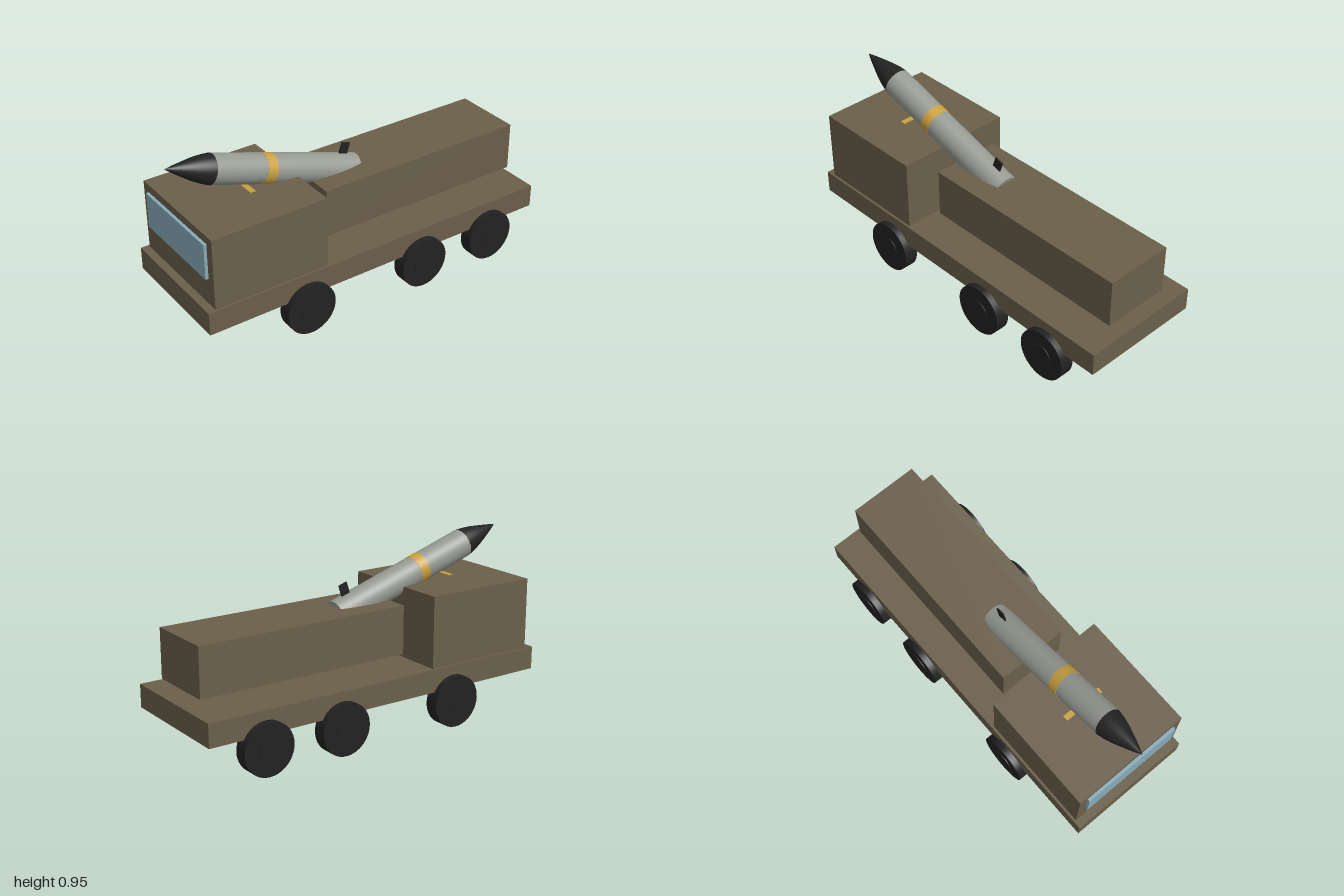
import * as THREE from 'three';

function material(name, color) {
  const m = new THREE.MeshStandardMaterial({ color });
  m.name = name;
  return m;
}

export function createModel() {
  const drab = material('drab brown', 0x6b5f4a);
  const black = material('black', 0x222222);
  const grey = material('missile grey', 0x969a92);
  const gold = material('gold', 0xc9a040);
  const glass = material('pale blue glass', 0x87abb9);

  const model = new THREE.Group();
  model.name = 'missileTruck';

  function add(parent, name, geometry, mat, x = 0, y = 0, z = 0) {
    const mesh = new THREE.Mesh(geometry, mat);
    mesh.name = name;
    mesh.position.set(x, y, z);
    parent.add(mesh);
    return mesh;
  }
  // Box given by its full width and its y and z extents, centred on x
  function block(name, mat, width, y0, y1, z0, z1) {
    return add(model, name, new THREE.BoxGeometry(width, y1 - y0, z1 - z0), mat,
      0, (y0 + y1) / 2, (z0 + z1) / 2);
  }

  // Truck body
  block('chassis', drab, 0.676, 0.204, 0.327, -1, 1);
  block('cab', drab, 0.65, 0.327, 0.709, 0.322, 0.957);
  block('windshield', glass, 0.554, 0.475, 0.667, 0.957, 0.973);
  block('launcherBox', drab, 0.376, 0.388, 0.648, -0.955, 0.235);

  // Three axles of wheels, each with a hub showing on both faces
  const tyreGeometry = new THREE.CylinderGeometry(0.138, 0.138, 0.076, 40).rotateZ(Math.PI / 2);
  const hubGeometry = new THREE.CylinderGeometry(0.062, 0.062, 0.084, 32).rotateZ(Math.PI / 2);
  for (const z of [0.447, -0.25, -0.694]) {
    for (const side of [-1, 1]) {
      const wheel = new THREE.Group();
      wheel.name = side > 0 ? 'leftWheel' : 'rightWheel';
      wheel.position.set(side * 0.333, 0.139, z);
      add(wheel, 'tyre', tyreGeometry, black);
      add(wheel, 'hub', hubGeometry, black);
      model.add(wheel);
    }
  }

  // Missile along its own +y, origin at the base of the nose, tilted up to the front
  const missile = new THREE.Group();
  missile.name = 'missile';
  missile.position.set(0, 0.867, 0.77);
  missile.rotation.x = Math.PI / 2 - 0.312;
  model.add(missile);

  const radius = 0.077;
  const length = 0.863;
  add(missile, 'missileBody', new THREE.CylinderGeometry(radius, radius, length, 40), grey, 0, -length / 2, 0);
  add(missile, 'goldBand', new THREE.CylinderGeometry(0.0785, 0.0785, 0.056, 40), gold, 0, -0.318, 0);

  // Slightly rounded nose
  const profile = [[radius, 0], [0.07, 0.04], [0.057, 0.09], [0.038, 0.145], [0.018, 0.2], [0, 0.242]]
    .map(([r, y]) => new THREE.Vector2(r, y));
  add(missile, 'nose', new THREE.LatheGeometry(profile, 40), black);

  // Four tail fins
  for (let i = 0; i < 4; i++) {
    const pivot = new THREE.Group();
    pivot.name = 'tailFin';
    pivot.rotation.y = i * Math.PI / 2;
    add(pivot, 'fin', new THREE.BoxGeometry(0.008, 0.05, 0.075), black, 0, -0.779, -0.1);
    missile.add(pivot);
  }

  // Thin gold marker plate under the missile
  block('markerPlate', gold, 0.224, 0.736, 0.74, 0.588, 0.618);

  return model;
}
